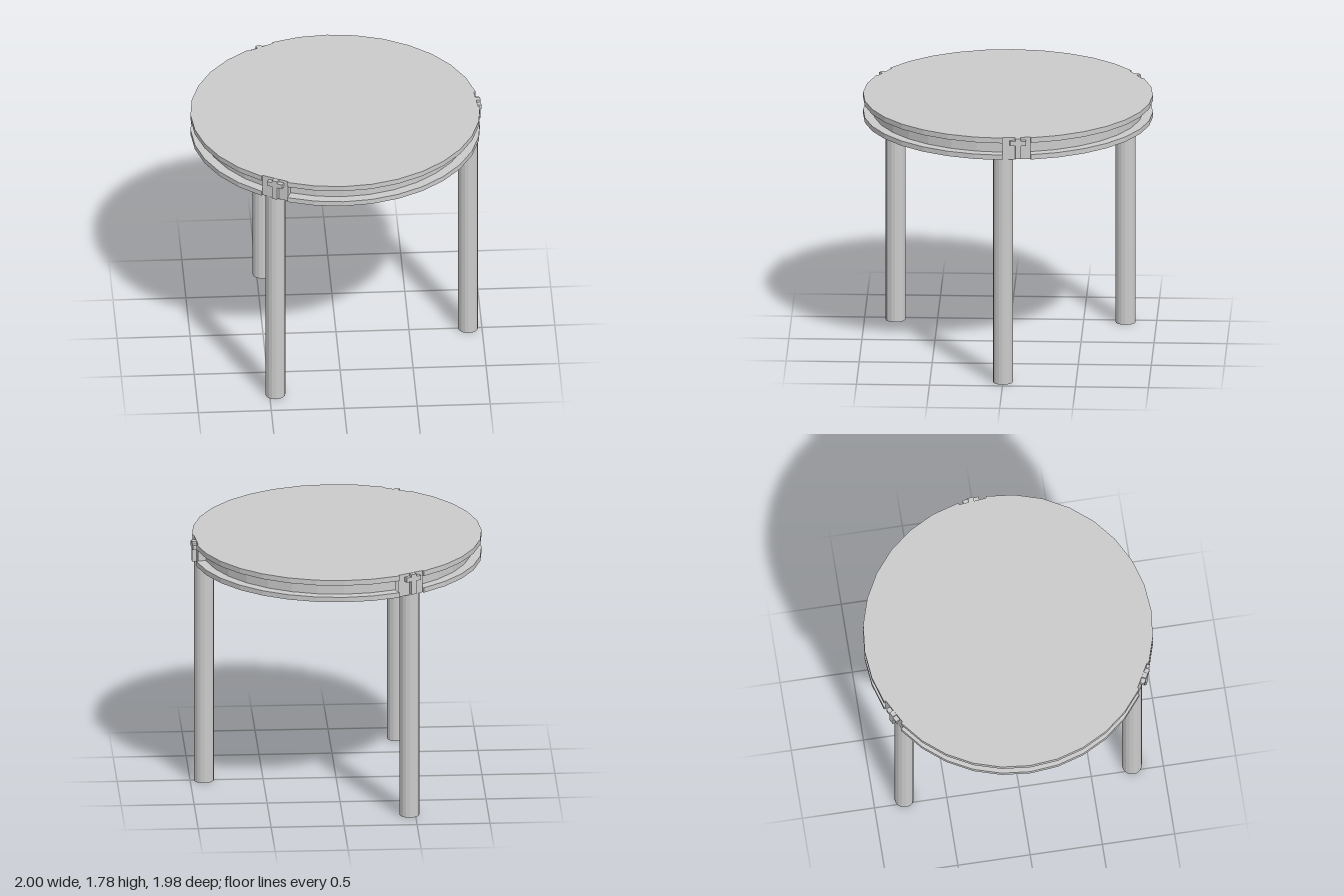
import * as THREE from 'three';

const SIDES = 32, STEP = (Math.PI * 2) / SIDES;
const R_OUT = 0.992, R_PANEL = 0.979, R_GROOVE = 0.925;
const Y0 = 1.62, Y1 = 1.655, Y2 = 1.74, Y3 = 1.777;

export function createModel() {
  const material = new THREE.MeshStandardMaterial({ color: 0xcccccc, flatShading: true });
  const model = new THREE.Group();
  model.name = 'roundTable';
  const table = new THREE.Group();
  table.name = 'table';
  table.position.x = -0.005;
  model.add(table);

  const add = (parent, name, geometry) => {
    const mesh = new THREE.Mesh(geometry, material);
    mesh.name = name;
    parent.add(mesh);
    return mesh;
  };

  // Sweep a profile over a run of the table's 32 sides
  const sweep = (name, profile, first, count) => add(table, name, new THREE.LatheGeometry(
    profile.map(([r, y]) => new THREE.Vector2(r, y)), count, Math.PI / 2 + first * STEP, count * STEP));

  // Upright radial wall; dir is the way round the table it faces
  const wall = (name, side, r0, r1, y0, y1, dir) => {
    const pivot = new THREE.Group();
    pivot.rotation.y = side * STEP;
    const mesh = add(pivot, name, new THREE.PlaneGeometry(r1 - r0, y1 - y0));
    mesh.position.set((r0 + r1) / 2, (y0 + y1) / 2, 0);
    if (dir > 0) mesh.rotation.y = Math.PI;
    table.add(pivot);
  };

  // Grooved table top, interrupted by three flat panels
  const grooved = [[0, Y0], [R_OUT, Y0], [R_OUT, Y1], [R_GROOVE, Y1],
    [R_GROOVE, Y2], [R_OUT, Y2], [R_OUT, Y3], [0, Y3]];
  const flat = [[0, Y0], [R_PANEL, Y0], [R_PANEL, Y3], [0, Y3]];
  const panels = [0, 10, 21];

  // Cross outline: half widths up the right side, then mirrored
  const half = [[0.019, 1.63], [0.019, 1.725], [0.056, 1.725], [0.056, 1.757], [0.019, 1.757], [0.019, 1.775]];
  const outline = [...half, ...half.map(([x, y]) => [-x, y]).reverse()];
  const crossShape = new THREE.Shape(outline.map(([x, y]) => new THREE.Vector2(x + 0.008, y)));

  panels.forEach((side, i) => {
    const next = i < 2 ? panels[i + 1] : SIDES;
    sweep('groovedTop', grooved, side + 1, next - side - 1);
    sweep('panel', flat, side, 1);

    // Panel end and the stepped ends of both rims
    wall('panelEnd', side + 1, R_GROOVE, R_PANEL, Y1, Y2, 1);
    for (const [y0, y1] of [[Y0, Y1], [Y2, Y3]]) {
      wall('rimEnd', side, R_PANEL, R_OUT, y0, y1, 1);
      wall('rimEnd', side + 1, R_PANEL, R_OUT, y0, y1, -1);
    }

    // Raised cross on the panel
    const mount = new THREE.Group();
    mount.name = 'crossMount';
    mount.rotation.y = (side + 0.5) * STEP;
    const cross = add(mount, 'crossOrnament', new THREE.ExtrudeGeometry(crossShape, { depth: 0.031, bevelEnabled: false }));
    cross.rotation.y = Math.PI / 2;
    cross.position.x = R_PANEL * Math.cos(STEP / 2);
    table.add(mount);
  });

  // Three round legs
  for (let i = 0; i < 3; i++) {
    const a = (i * Math.PI * 2) / 3;
    const leg = add(table, 'leg', new THREE.CylinderGeometry(0.068, 0.068, Y0, 16));
    leg.position.set(0.91 * Math.cos(a), Y0 / 2, 0.91 * Math.sin(a));
  }
  return model;
}
